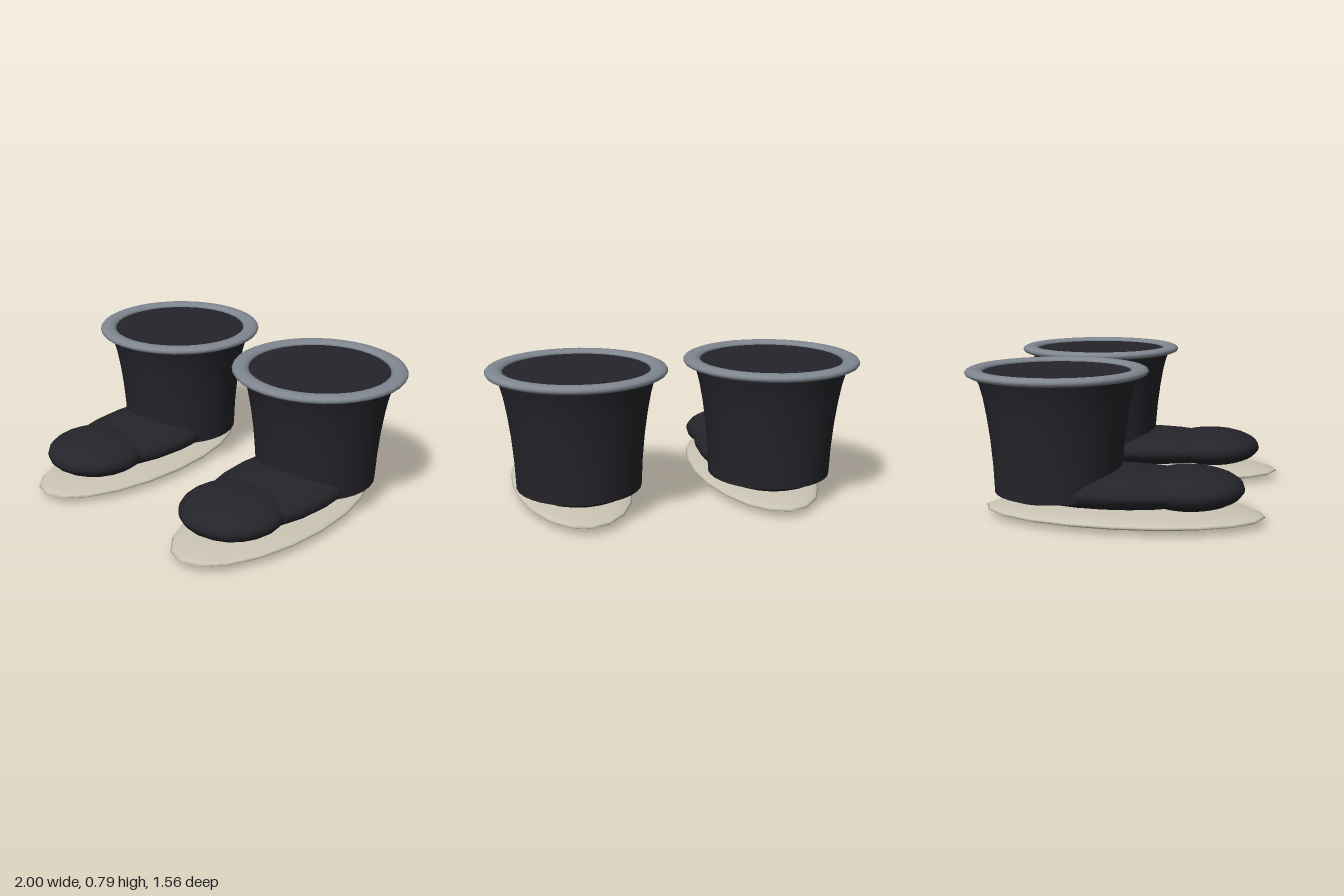
import * as THREE from 'three';

const black = new THREE.MeshStandardMaterial({ color: 0x25242a });
const grey = new THREE.MeshStandardMaterial({ color: 0x808790 });
const cream = new THREE.MeshStandardMaterial({ color: 0xcbc5b5 });

function addMesh(parent, name, geometry, material, y, z) {
  const mesh = new THREE.Mesh(geometry, material);
  mesh.name = name;
  mesh.position.set(0, y, z);
  parent.add(mesh);
  return mesh;
}

// Sphere stretched to the given half sizes
function addEllipsoid(parent, name, material, y, z, rx, ry, rz) {
  const geometry = new THREE.SphereGeometry(1, 20, 16).scale(rx, ry, rz);
  return addMesh(parent, name, geometry, material, y, z);
}

function createBoot() {
  const boot = new THREE.Group();

  // Sole and the rounded foot
  addEllipsoid(boot, 'sole', cream, 0.04, 0.035, 0.328, 0.04, 0.738);
  addEllipsoid(boot, 'foot', black, 0.175, -0.03, 0.31, 0.105, 0.61);
  addEllipsoid(boot, 'toeCap', black, 0.18, 0.38, 0.28, 0.106, 0.285);
  addEllipsoid(boot, 'heel', black, 0.17, -0.365, 0.29, 0.098, 0.28);

  // Flared shaft with closed ends
  const shaftZ = -0.31, topY = 0.765, bottomY = 0.14;
  const profile = [
    [0.332, bottomY], [0.338, 0.28], [0.35, 0.42], [0.366, 0.54],
    [0.384, 0.64], [0.4, 0.7], [0.412, 0.73], [0.42, topY],
  ].map(([r, y]) => new THREE.Vector2(r, y));
  addMesh(boot, 'shaft', new THREE.LatheGeometry(profile, 32), black, 0, shaftZ);
  addMesh(boot, 'shaftTop', new THREE.CircleGeometry(0.42, 32).rotateX(-Math.PI / 2), black, topY, shaftZ);
  addMesh(boot, 'shaftBottom', new THREE.CircleGeometry(0.332, 32).rotateX(Math.PI / 2), black, bottomY, shaftZ);

  // Flattened rolled rim
  const rim = new THREE.TorusGeometry(0.427, 0.046, 12, 36).rotateX(Math.PI / 2).scale(1, 0.48, 1);
  addMesh(boot, 'rim', rim, grey, 0.764, shaftZ);
  return boot;
}

export function createModel() {
  const model = new THREE.Group();
  model.name = 'boots';
  for (const [name, x] of [['leftBoot', 0.527], ['rightBoot', -0.527]]) {
    const boot = createBoot();
    boot.name = name;
    boot.position.x = x;
    model.add(boot);
  }
  return model;
}
